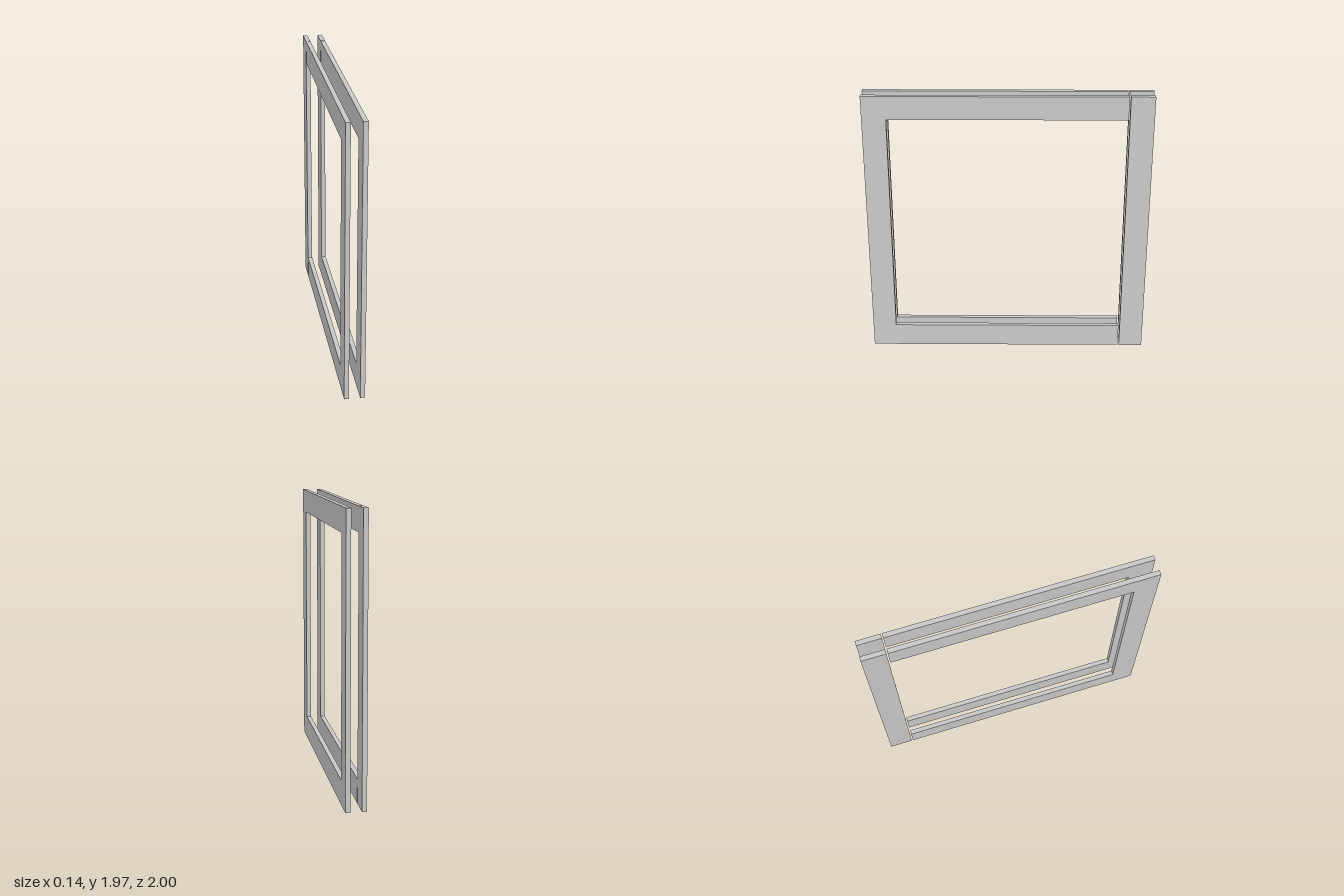
import * as THREE from 'three';

const HEIGHT = 1.97, WIDTH = 0.168, THICK = 0.033, OFFSET = 0.055;
const RAIL_END = -0.823, POST_START = -0.832;

export function createModel() {
  const group = new THREE.Group();
  const material = new THREE.MeshStandardMaterial({ color: 0xcccccc, flatShading: true });

  // C-shaped frame: front stile with top and bottom rails, drawn in (z, y)
  const outline = [
    [1, 0], [1, HEIGHT], [RAIL_END, HEIGHT], [RAIL_END, HEIGHT - WIDTH],
    [1 - WIDTH, HEIGHT - WIDTH], [1 - WIDTH, WIDTH], [RAIL_END, WIDTH], [RAIL_END, 0],
  ].map(([z, y]) => new THREE.Vector2(-z, y));
  const frameGeometry = new THREE.ExtrudeGeometry(new THREE.Shape(outline), { depth: THICK, bevelEnabled: false });
  frameGeometry.translate(0, 0, -THICK / 2).rotateY(Math.PI / 2);

  // Separate rear post closing the frame across a narrow gap
  const postDepth = 1 + POST_START;
  const postGeometry = new THREE.BoxGeometry(THICK, HEIGHT, postDepth);
  postGeometry.translate(0, HEIGHT / 2, -1 + postDepth / 2);

  // Two parallel frames, one on each side
  for (const [side, sign] of [['left', 1], ['right', -1]]) {
    const frame = new THREE.Mesh(frameGeometry, material);
    frame.name = side + 'Frame';
    const post = new THREE.Mesh(postGeometry, material);
    post.name = side + 'RearPost';
    frame.position.x = post.position.x = sign * OFFSET;
    group.add(frame, post);
  }
  return group;
}
